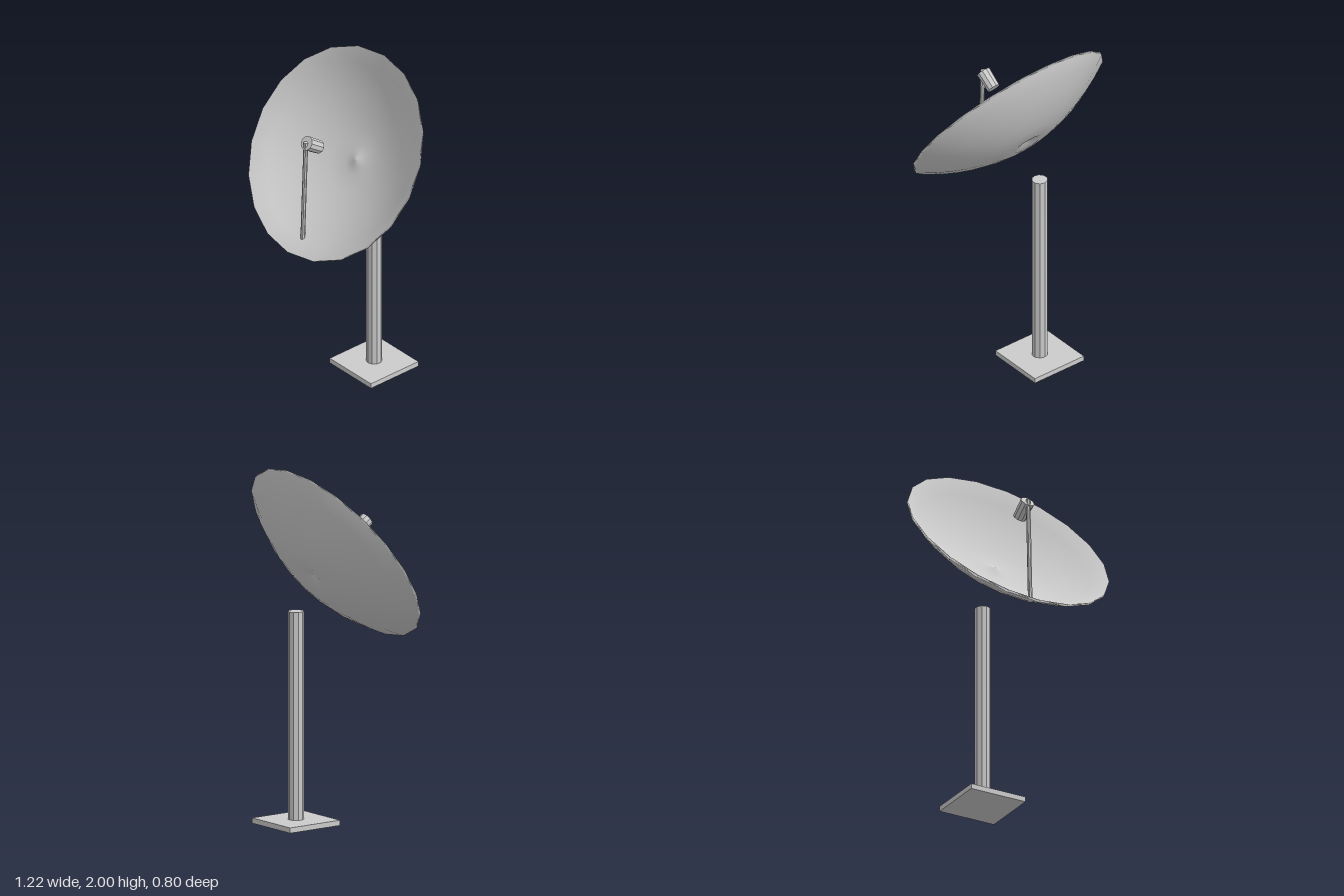
import * as THREE from 'three';

const smooth = new THREE.MeshStandardMaterial({ color: 0xcccccc, side: THREE.DoubleSide });
const faceted = new THREE.MeshStandardMaterial({ color: 0xcccccc, flatShading: true });

const TILT = 0.963; // turns +y to the direction the dish faces

function add(group, name, geometry, material, x, y, z) {
  const mesh = new THREE.Mesh(geometry, material);
  mesh.name = name;
  mesh.position.set(x, y, z);
  group.add(mesh);
  return mesh;
}

// Parabolic shell with a small raised dimple in the middle
function dishGeometry() {
  const radius = 0.609, depth = 0.205, thickness = 0.015;
  const rings = [0, 0.05, 0.14, 0.3, 0.45, 0.6, 0.73, 0.86, 1];
  const inner = rings.map(f => new THREE.Vector2(
    f * radius,
    -depth * (1 - f * f) + 0.025 * Math.max(0, 1 - f / 0.14)
  ));
  const outer = inner.map(p => new THREE.Vector2(p.x, p.y - thickness));
  return new THREE.LatheGeometry([...outer, ...inner.reverse()], 20);
}

// Straight rod between two points
function addRod(group, name, from, to, radius, sides) {
  const dir = to.clone().sub(from);
  const mid = from.clone().add(to).multiplyScalar(0.5);
  const rod = add(group, name, new THREE.CylinderGeometry(radius, radius, dir.length(), sides),
    faceted, mid.x, mid.y, mid.z);
  rod.quaternion.setFromUnitVectors(new THREE.Vector3(0, 1, 0), dir.normalize());
}

export function createModel() {
  const model = new THREE.Group();
  model.name = 'satelliteDish';

  // Stand
  add(model, 'basePlate', new THREE.BoxGeometry(0.346, 0.03, 0.346), faceted, 0, 0.015, -0.231);
  add(model, 'pole', new THREE.CylinderGeometry(0.045, 0.045, 1.17, 10), faceted, 0, 0.615, -0.231);

  // Reflector
  const dish = add(model, 'dish', dishGeometry(), smooth, 0, 1.5, 0.053);
  dish.rotation.x = TILT;

  // Receiver, aimed back at the dish, on its support arm
  const receiver = add(model, 'receiver', new THREE.CylinderGeometry(0.041, 0.038, 0.11, 10),
    faceted, 0, 1.624, 0.217);
  receiver.rotation.x = TILT;
  addRod(model, 'receiverArm', new THREE.Vector3(0, 1.035, 0.29),
    new THREE.Vector3(0, 1.662, 0.267), 0.013, 8);

  return model;
}
